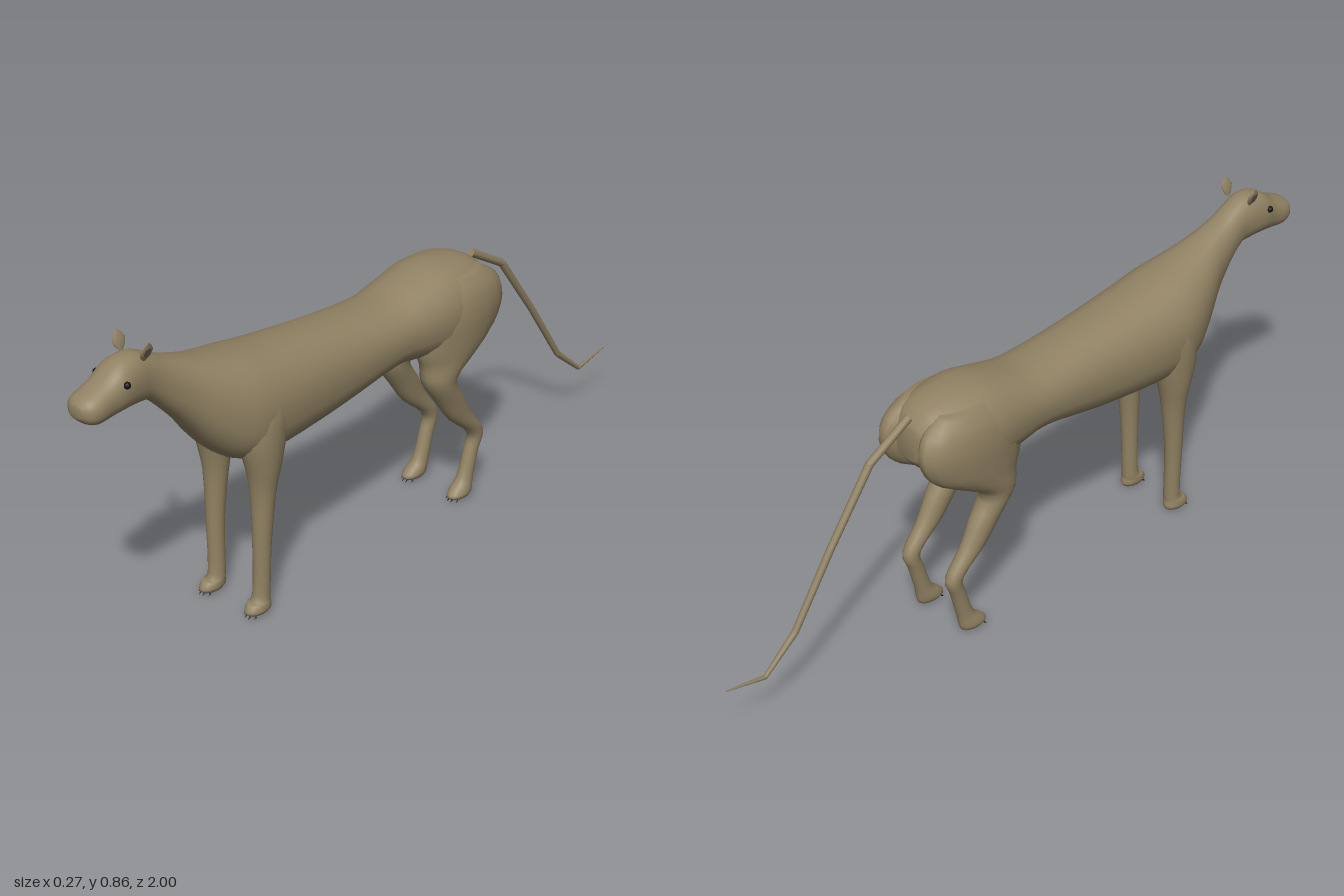
import * as THREE from 'three';

const coat = new THREE.MeshStandardMaterial({ color: 0x918263 });
coat.name = 'tan coat';
const innerEar = new THREE.MeshStandardMaterial({ color: 0x6b5b49, side: THREE.DoubleSide });
innerEar.name = 'brown ear';
const black = new THREE.MeshStandardMaterial({ color: 0x14110f });
black.name = 'black';

// Smooth interpolation between rows of section numbers
function refine(rows, steps) {
  const out = [];
  for (let i = 0; i < rows.length - 1; i++) {
    const p = [rows[Math.max(i - 1, 0)], rows[i], rows[i + 1], rows[Math.min(i + 2, rows.length - 1)]];
    for (let s = 0; s < steps; s++) {
      const t = s / steps;
      out.push(p[1].map((b, k) => {
        const a = p[0][k], c = p[2][k], d = p[3][k];
        return b + 0.5 * t * (c - a + t * (2 * a - 5 * b + 4 * c - d + t * (3 * (b - c) + d - a)));
      }));
    }
  }
  out.push(rows[rows.length - 1]);
  return out;
}

// Closed skin over rings; point(row, cos, sin) gives a corner, centre is at (0, 0)
function loft(rows, sides, point) {
  const pos = [], idx = [];
  rows.forEach((r) => {
    for (let j = 0; j < sides; j++) {
      const t = (j / sides) * Math.PI * 2;
      pos.push(...point(r, Math.cos(t), Math.sin(t)));
    }
  });
  const last = (rows.length - 1) * sides, cap = rows.length * sides;
  pos.push(...point(rows[0], 0, 0), ...point(rows[rows.length - 1], 0, 0));
  for (let j = 0; j < sides; j++) {
    const k = (j + 1) % sides;
    for (let o = 0; o < last; o += sides) {
      idx.push(o + j, o + k, o + sides + j, o + k, o + sides + k, o + sides + j);
    }
    idx.push(cap, k, j, cap + 1, last + j, last + k);
  }
  const g = new THREE.BufferGeometry();
  g.setAttribute('position', new THREE.Float32BufferAttribute(pos, 3));
  g.setIndex(idx);
  g.computeVertexNormals();
  return g;
}

// Rows: z, top y, bottom y, half width
const BODY = [
  [-0.395, 0.63, 0.54, 0.04], [-0.36, 0.67, 0.5, 0.095], [-0.3, 0.692, 0.468, 0.118],
  [-0.2, 0.699, 0.455, 0.13], [-0.1, 0.678, 0.468, 0.122], [0, 0.661, 0.479, 0.114],
  [0.2, 0.677, 0.445, 0.119], [0.4, 0.7, 0.428, 0.132], [0.5, 0.718, 0.428, 0.133],
  [0.56, 0.73, 0.448, 0.12], [0.62, 0.745, 0.505, 0.096], [0.68, 0.765, 0.58, 0.069],
  [0.74, 0.788, 0.645, 0.053], [0.79, 0.815, 0.69, 0.047], [0.83, 0.829, 0.698, 0.05],
  [0.88, 0.822, 0.7, 0.054], [0.92, 0.796, 0.697, 0.05], [0.96, 0.778, 0.695, 0.05],
  [0.985, 0.767, 0.705, 0.042], [1.0, 0.752, 0.722, 0.02],
];
// Rows: y, centre x, centre z, half width, half depth
const FRONT_LEG = [
  [0.008, 0.081, 0.513, 0.02, 0.034], [0.018, 0.081, 0.513, 0.026, 0.041], [0.035, 0.08, 0.509, 0.025, 0.034],
  [0.055, 0.079, 0.498, 0.022, 0.024], [0.2, 0.082, 0.495, 0.024, 0.025], [0.34, 0.082, 0.488, 0.033, 0.033],
  [0.42, 0.083, 0.486, 0.045, 0.048], [0.5, 0.08, 0.485, 0.055, 0.068], [0.58, 0.075, 0.475, 0.059, 0.07],
  [0.65, 0.07, 0.46, 0.04, 0.045],
];
const HIND_LEG = [
  [0.008, 0.081, -0.263, 0.02, 0.036], [0.018, 0.081, -0.262, 0.026, 0.042], [0.035, 0.08, -0.271, 0.025, 0.036],
  [0.06, 0.079, -0.287, 0.021, 0.025], [0.13, 0.079, -0.309, 0.02, 0.022], [0.185, 0.08, -0.322, 0.022, 0.026],
  [0.255, 0.081, -0.258, 0.027, 0.04], [0.325, 0.081, -0.213, 0.034, 0.047], [0.395, 0.081, -0.172, 0.043, 0.053],
  [0.45, 0.078, -0.21, 0.051, 0.1], [0.5, 0.075, -0.238, 0.058, 0.148], [0.57, 0.073, -0.255, 0.062, 0.164],
  [0.63, 0.068, -0.262, 0.055, 0.137], [0.67, 0.06, -0.26, 0.035, 0.08],
];

export function createModel() {
  const model = new THREE.Group();
  const add = (name, geometry, material, parent = model) => {
    const m = new THREE.Mesh(geometry, material);
    m.name = name;
    parent.add(m);
    return m;
  };
  const soften = (v, e) => Math.sign(v) * Math.abs(v) ** e;

  // Torso, neck and head in one skin
  add('bodyNeckAndHead', loft(refine(BODY, 3), 28, ([z, top, bottom, w], c, s) => [
    w * soften(c, 0.85),
    (top + bottom) / 2 + ((top - bottom) / 2) * soften(s, s < 0 ? 0.8 : 0.95), z,
  ]), coat);

  for (const [side, label] of [[1, 'left'], [-1, 'right']]) {
    // Legs with feet, and little claws before the toes
    for (const [part, rows, toe] of [['FrontLeg', FRONT_LEG, 0.553], ['HindLeg', HIND_LEG, -0.221]]) {
      const leg = new THREE.Group();
      leg.name = label + part;
      model.add(leg);
      add(label + part + 'Skin', loft(refine(rows, 3), 18, ([y, x, z, rx, rz], c, s) =>
        [side * x + rx * c, y, z - rz * s]), coat, leg);
      for (let i = 0; i < 4; i++) {
        const u = i - 1.5;
        const claw = add('claw', new THREE.ConeGeometry(0.0025, 0.01, 5), black, leg);
        claw.position.set(side * 0.081 + u * 0.012, 0.006, toe - u * u * 0.005);
        claw.rotation.x = 2.2;
      }
    }

    // Eye
    const eye = add(label + 'Eye', new THREE.SphereGeometry(0.009, 12, 8), black);
    eye.position.set(side * 0.052, 0.779, 0.885);

    // Leaf-shaped ear with a darker inner face
    const ear = new THREE.Group();
    ear.name = label + 'Ear';
    ear.position.set(side * 0.038, 0.812, 0.817);
    ear.rotation.set(0, 0, -side * 0.32);
    const leaf = new THREE.LatheGeometry([[0.004, 0], [0.016, 0.014], [0.021, 0.028], [0.013, 0.042], [0, 0.055]]
      .map(([r, y]) => new THREE.Vector2(r, y)), 10);
    add('earShell', leaf, coat, ear).scale.set(0.22, 1, 1);
    const inner = add('innerEar', new THREE.CircleGeometry(0.012, 8), innerEar, ear);
    inner.rotation.y = side * Math.PI / 2;
    inner.position.set(side * 0.0055, 0.026, 0);
    inner.scale.y = 1.2;
    model.add(ear);
  }

  // Jointed tail, thinning to a point
  const tail = new THREE.Group();
  tail.name = 'tail';
  model.add(tail);
  const joints = [[0.66, -0.39, 0.011], [0.585, -0.52, 0.011], [0.4, -0.655, 0.01],
    [0.213, -0.78, 0.009], [0.13, -0.88, 0.006], [0.153, -1.0, 0.0015]];
  for (let i = 0; i < joints.length - 1; i++) {
    const [y0, z0, r0] = joints[i], [y1, z1, r1] = joints[i + 1];
    const a = new THREE.Vector3(0, y0, z0), b = new THREE.Vector3(0, y1, z1);
    const seg = add('tailSegment', new THREE.CylinderGeometry(r1, r0, a.distanceTo(b), 8), coat, tail);
    seg.position.copy(a).lerp(b, 0.5);
    seg.quaternion.setFromUnitVectors(new THREE.Vector3(0, 1, 0), b.clone().sub(a).normalize());
    if (i) add('tailJoint', new THREE.SphereGeometry(r0, 8, 6), coat, tail).position.copy(a);
  }
  return model;
}
